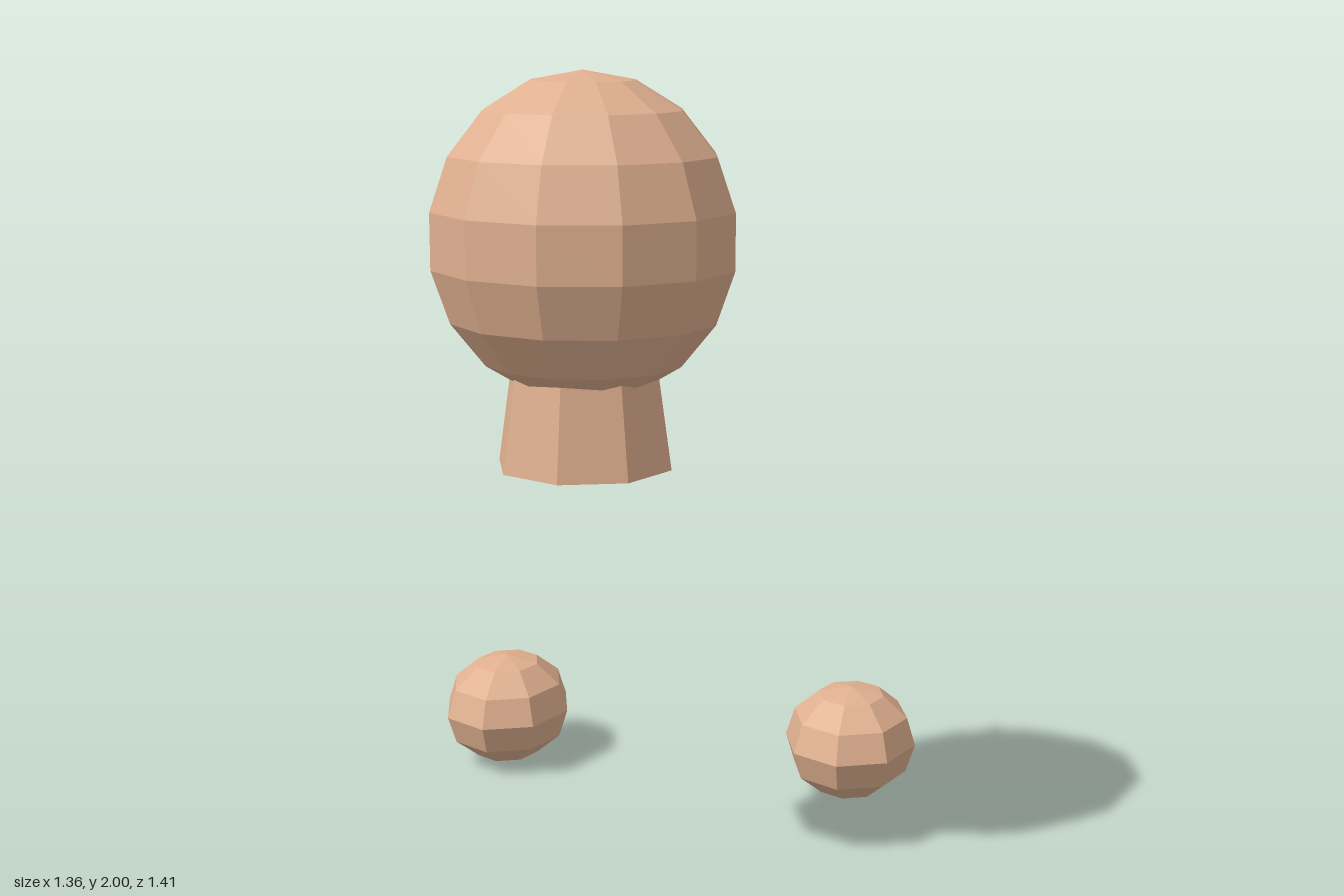
import * as THREE from 'three';

export function createModel() {
  const model = new THREE.Group();
  const skin = new THREE.MeshStandardMaterial({ color: 0xe0b090, flatShading: true });

  const add = (name, geometry, x, y, z) => {
    const mesh = new THREE.Mesh(geometry, skin);
    mesh.name = name;
    mesh.position.set(x, y, z);
    model.add(mesh);
    return mesh;
  };

  const centreZ = 0.365;

  // Head: faceted ellipsoid
  add('head', new THREE.SphereGeometry(1, 12, 9).scale(0.36, 0.375, 0.344), 0, 1.625, centreZ);

  // Neck: tapered octagonal stub rising into the head
  const neckHeight = 0.3;
  add('neck', new THREE.CylinderGeometry(0.167, 0.21, neckHeight, 8), 0, 1.095 + neckHeight / 2, centreZ);

  // Nose: eight-sided cone pointing to -z, base sunk in the head
  const noseLength = 0.152;
  const nose = add('nose', new THREE.ConeGeometry(0.071, noseLength, 8), 0, 1.58, -0.092 + noseLength / 2);
  nose.rotation.x = -Math.PI / 2;

  // Floating hands: small ellipsoids, mirrored
  for (const [name, side] of [['leftHand', 1], ['rightHand', -1]]) {
    add(name, new THREE.SphereGeometry(1, 8, 6).scale(0.18, 0.154, 0.215), side * 0.5, 0.154, -0.489);
  }

  return model;
}
